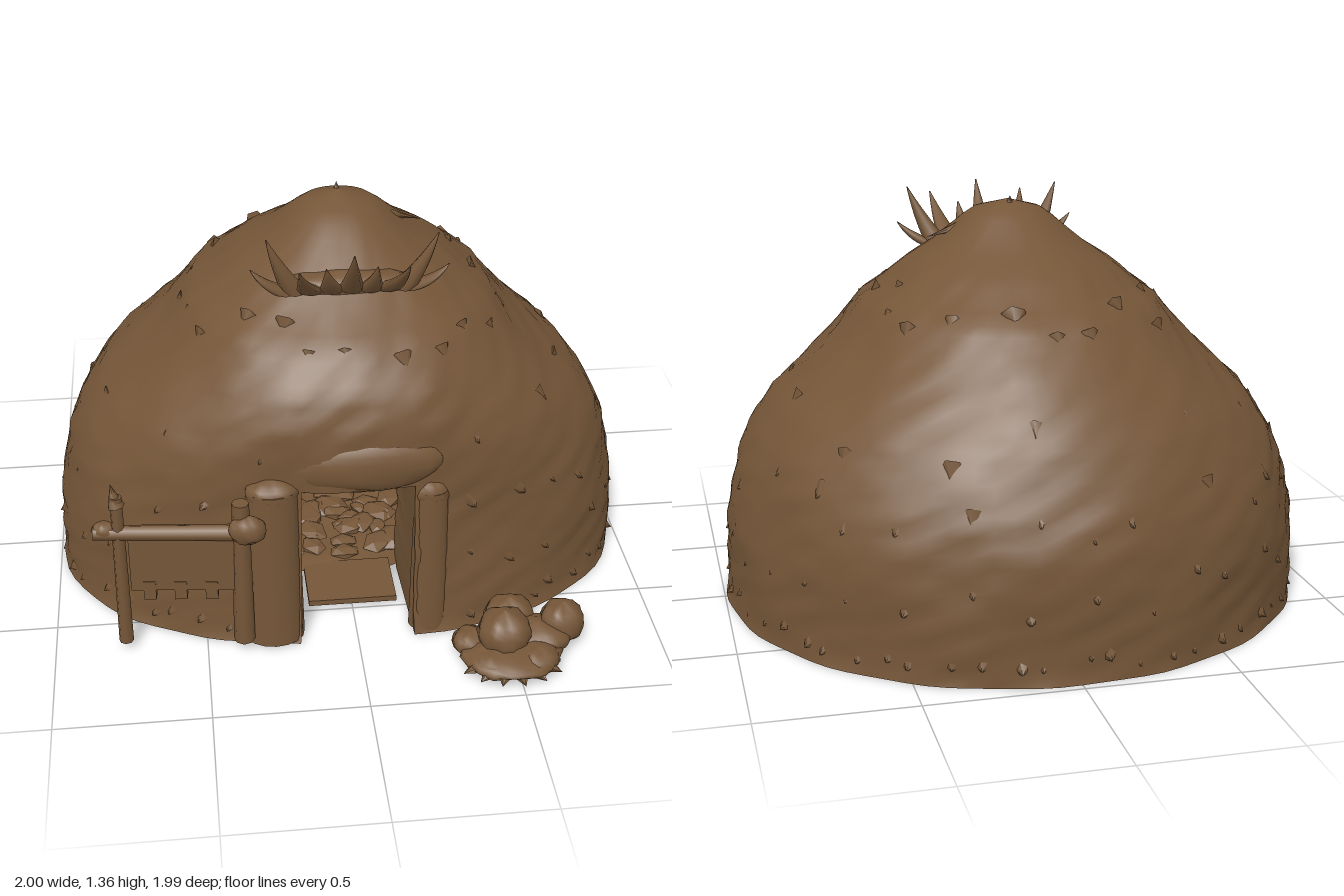
import * as THREE from 'three';

const earth = new THREE.MeshStandardMaterial({ color: 0x755638, side: THREE.DoubleSide });
earth.name = 'brown earth';

// Dome profile: height, then reach to the side, front and back
const profile = [
  [0, 0.99, 0.675, 0.975], [0.03, 0.985, 0.665, 0.97], [0.28, 0.98, 0.65, 0.975], [0.4, 0.955, 0.645, 0.965],
  [0.5, 0.93, 0.645, 0.935], [0.6, 0.885, 0.65, 0.89], [0.7, 0.81, 0.655, 0.84], [0.8, 0.7, 0.65, 0.765],
  [0.9, 0.595, 0.615, 0.675], [1.0, 0.515, 0.54, 0.575], [1.03, 0.49, 0.515, 0.545], [1.06, 0.44, 0.46, 0.485],
  [1.13, 0.36, 0.365, 0.39], [1.2, 0.25, 0.28, 0.255], [1.25, 0.19, 0.215, 0.18], [1.29, 0.145, 0.16, 0.125],
  [1.32, 0.1, 0.105, 0.08], [1.335, 0.05, 0.05, 0.04], [1.342, 0, 0, 0],
];
const COLS = 90, ROWS = 46, TOP = 1.342, DOOR_COL = 4, DOOR_ROW = 20;
const STEP = (Math.PI * 2) / COLS, DOOR_ANGLE = DOOR_COL * STEP, INNER_ANGLE = 0.42;

let seed = 7;
const rand = () => (seed = (seed * 16807) % 2147483647) / 2147483647;
const span = (a, b) => a + (b - a) * rand();

const bumps = (a, y) =>
  0.005 * Math.sin(a * 9 + 2) * Math.sin(y * 13) + 0.004 * Math.sin(a * 17 + Math.sin(y * 19) * 2) * Math.cos(y * 31)
  + 0.003 * Math.sin(a * 29) * Math.sin(y * 47);

function reach(a, side, depth, n) {
  if (side < 1e-4) return 0;
  return 1 / Math.pow(Math.pow(Math.abs(Math.sin(a)) / side, n) + Math.pow(Math.abs(Math.cos(a)) / depth, n), 1 / n);
}

// Point on the outer skin at angle a (0 = front) and height y
function outer(a, y, lift = 0) {
  let i = 1;
  while (i < profile.length - 1 && profile[i][0] < y) i++;
  const p = profile[i - 1], q = profile[i];
  const t = Math.min(1, (y - p[0]) / (q[0] - p[0]));
  const mix = (k) => p[k] + (q[k] - p[k]) * t;
  const front = Math.cos(a) > 0;
  let r = reach(a, mix(1), mix(front ? 2 : 3), front ? 2.25 : 2.03);
  r += bumps(a, y) * Math.min(1, r * r * 4) + lift;
  return new THREE.Vector3(Math.sin(a) * r, y, Math.cos(a) * r);
}

// Point on the inner skin, with the columns spread so the doorway stays straight
function inner(a, row) {
  const m = Math.abs(a), k = (Math.PI - INNER_ANGLE) / (Math.PI - DOOR_ANGLE);
  const b = Math.sign(a) * (m < DOOR_ANGLE ? (m * INNER_ANGLE) / DOOR_ANGLE : INNER_ANGLE + (m - DOOR_ANGLE) * k);
  const base = (TOP * DOOR_ROW) / ROWS;
  const t = Math.max(0, (row - DOOR_ROW) / (ROWS - DOOR_ROW));
  const y = row <= DOOR_ROW ? (TOP * row) / ROWS : base + 0.4 * Math.sin((t * Math.PI) / 2);
  const r = (reach(b, 0.5, 0.42, 2) + 3 * bumps(b, y)) * Math.cos((t * Math.PI) / 2);
  return new THREE.Vector3(Math.sin(b) * r, y, Math.cos(b) * r - 0.11);
}

const angle = (c) => (c - COLS / 2) * STEP;
const height = (r) => (TOP * r) / ROWS;
const inDoor = (c, r) => c >= COLS / 2 - DOOR_COL && c < COLS / 2 + DOOR_COL && r < DOOR_ROW;

// Grid surface from a point rule; 'skip' leaves cells open and 'wrap' closes the loop
function patch(nu, nv, point, skip = () => false, wrap = false) {
  const pos = [], index = [], w = wrap ? nu : nu + 1;
  for (let v = 0; v <= nv; v++) for (let u = 0; u < w; u++) pos.push(...point(u, v).toArray());
  for (let v = 0; v < nv; v++) for (let u = 0; u < nu; u++) {
    if (skip(u, v)) continue;
    const a = v * w + u, b = v * w + ((u + 1) % w), c = a + w, d = b + w;
    index.push(a, b, d, a, d, c);
  }
  const g = new THREE.BufferGeometry();
  g.setAttribute('position', new THREE.Float32BufferAttribute(pos, 3));
  g.setIndex(index);
  g.computeVertexNormals();
  return g;
}

// Rounded lump, roughened by a rule
function lump(rx, ry, rz, rough = 0.08) {
  const g = new THREE.SphereGeometry(1, 18, 12), p = g.attributes.position, v = new THREE.Vector3();
  for (let i = 0; i < p.count; i++) {
    v.fromBufferAttribute(p, i);
    v.multiplyScalar(1 + rough * Math.sin(v.x * 6 + rx * 50) * Math.cos(v.z * 5 + v.y * 4));
    p.setXYZ(i, v.x * rx, v.y * ry, v.z * rz);
  }
  g.computeVertexNormals();
  return g;
}

export function createModel() {
  const hut = new THREE.Group();
  hut.name = 'hut';
  const add = (name, geometry, x = 0, y = 0, z = 0, parent = hut) => {
    const m = new THREE.Mesh(geometry, earth);
    m.name = name;
    m.position.set(x, y, z);
    parent.add(m);
    return m;
  };
  const group = (name) => {
    const g = new THREE.Group();
    g.name = name;
    hut.add(g);
    return g;
  };
  const spike = (name, from, to, radius, parent, sides = 7) => {
    const dir = to.clone().sub(from);
    const m = add(name, new THREE.ConeGeometry(radius, dir.length(), sides), 0, 0, 0, parent);
    m.position.copy(from).addScaledVector(dir, 0.5);
    m.quaternion.setFromUnitVectors(new THREE.Vector3(0, 1, 0), dir.normalize());
  };

  // Thick dome with an open doorway
  add('outerWall', patch(COLS, ROWS, (u, v) => outer(angle(u), height(v)), inDoor, true));
  add('innerWall', patch(COLS, ROWS, (u, v) => inner(angle(u), v), inDoor, true));
  const between = (c, r, t) => outer(angle(c), height(r)).lerp(inner(angle(c), r), t);
  add('wallBase', patch(COLS, 1, (u, v) => between(u, 0, v), (u) => inDoor(u, 0), true));
  for (const s of [-1, 1])
    add('doorJamb', patch(4, DOOR_ROW, (u, v) => between(COLS / 2 + s * DOOR_COL, v, u / 4)));
  add('doorLintel', patch(2 * DOOR_COL, 4, (u, v) => between(COLS / 2 - DOOR_COL + u, DOOR_ROW, v / 4)));

  // Overhanging lip and the buttresses either side of the door
  add('doorHood', lump(0.25, 0.1, 0.06, 0.05), 0.03, 0.665, 0.615);
  for (const [x, r, h, depth] of [[-0.275, 0.1, 0.58, 0.08], [0.24, 0.065, 0.54, 0.05]]) {
    add('doorButtress', new THREE.CylinderGeometry(0.85, 1, 1, 16), x, h / 2 + 0.01, 0.61).scale.set(r, h, depth);
    add('buttressTop', lump(r * 0.9, 0.05, depth * 0.85), x, h, 0.61);
  }

  // Uneven floor with rubble, running a little into the doorway
  add('floor', patch(40, 8, (u, v) => {
    const a = u * Math.PI / 20, r = v / 8;
    return new THREE.Vector3(Math.sin(a) * r * 0.53, 0.035 + 0.02 * Math.sin(a * 5 + r * 11) * r, Math.cos(a) * r * 0.45 - 0.11);
  }, undefined, true));
  add('doorstep', new THREE.BoxGeometry(0.3, 0.02, 0.22), 0, 0.03, 0.39);
  const rubble = group('rubble');
  for (let i = 0; i < 90; i++) {
    const a = span(0, Math.PI * 2), r = Math.sqrt(rand()) * 0.45, s = span(0.03, 0.065);
    const m = add('rubblePiece', new THREE.IcosahedronGeometry(s, 0), Math.sin(a) * r, 0.045, Math.cos(a) * r * 0.8 - 0.11, rubble);
    m.scale.set(1.4, 0.45, 1);
    m.rotation.y = a * 3;
  }

  // Ragged tufts along each course
  const tufts = group('tufts');
  for (const [y, count, size] of [[0.04, 60, 0.03], [0.27, 34, 0.024], [0.5, 34, 0.026], [0.7, 14, 0.022], [1.02, 24, 0.02]]) {
    for (let i = 0; i < count; i++) {
      const a = ((i + span(-0.3, 0.3)) / count) * Math.PI * 2;
      if (y < 0.65 && Math.abs(Math.sin(a)) < 0.5 && Math.cos(a) > 0) continue;
      const h = Math.max(0.055, y + span(-0.06, 0.06));
      const tip = outer(a, h, size * span(0.2, 0.7));
      tip.y -= 0.02;
      spike('tuft', outer(a, h, -0.03), tip, span(0.03, 0.045), tufts, 6);
    }
  }

  // Crown of curved horns above the door: base x, tip x, tip y, tip z
  const crown = group('crown');
  for (const [bx, tx, ty, tz] of [
    [-0.2, -0.31, 1.23, 0.34], [-0.17, -0.26, 1.34, 0.36], [-0.12, -0.17, 1.3, 0.52], [-0.05, -0.08, 1.27, 0.44],
    [0.01, 0, 1.34, 0.5], [0.07, 0.08, 1.27, 0.44], [0.13, 0.17, 1.3, 0.51], [0.18, 0.28, 1.34, 0.36], [0.2, 0.32, 1.22, 0.34],
  ]) {
    const base = new THREE.Vector3(bx, 1.14, 0.32), tip = new THREE.Vector3(tx, ty, tz);
    const bend = base.clone().lerp(tip, 0.6).add(new THREE.Vector3(0, -0.02, 0.012));
    const curve = new THREE.QuadraticBezierCurve3(base, bend, tip);
    add('horn', patch(8, 8, (u, v) => {
      const a = (u * Math.PI) / 4, r = 0.042 * (1 - v / 8) + 0.002;
      return curve.getPoint(v / 8).add(new THREE.Vector3(Math.cos(a) * r, 0, -Math.sin(a) * r));
    }, undefined, true), 0, 0, 0, crown);
  }
  add('crownBand', lump(0.23, 0.04, 0.06), 0, 1.15, 0.3, crown);
  spike('topTwig', new THREE.Vector3(0.1, 1.27, 0.02), new THREE.Vector3(0.28, 1.22, 0), 0.025, crown);
  spike('topKnot', new THREE.Vector3(0, 1.31, -0.02), new THREE.Vector3(0, 1.355, -0.03), 0.02, crown);

  // Fence beside the door, turned slightly away from the wall
  const fence = group('fence');
  fence.rotation.y = -0.1;
  fence.position.set(0.064, 0, 0.065);
  const post = (x, y, h, r) => add('fencePost', new THREE.CylinderGeometry(r * 0.8, r, h, 8), x, y, 0.645, fence);
  post(-0.77, 0.32, 0.57, 0.024);
  post(-0.38, 0.31, 0.54, 0.035);
  spike('postTip', new THREE.Vector3(-0.77, 0.57, 0.645), new THREE.Vector3(-0.785, 0.65, 0.64), 0.028, fence);
  const rail = add('fenceRail', new THREE.CylinderGeometry(0.024, 0.028, 0.52, 8), -0.59, 0.468, 0.645, fence);
  rail.rotation.z = Math.PI / 2;
  add('fencePanel', new THREE.BoxGeometry(0.34, 0.2, 0.03), -0.57, 0.35, 0.645, fence);
  for (let i = 0; i < 3; i++) add('panelFoot', new THREE.BoxGeometry(0.04, 0.07, 0.035), -0.68 + i * 0.1, 0.25, 0.645, fence);
  add('railEnd', lump(0.04, 0.03, 0.03), -0.815, 0.475, 0.64, fence);
  add('fenceBracket', lump(0.06, 0.05, 0.04), -0.36, 0.49, 0.665, fence);

  // Rocks beside the door
  const rocks = group('rocks');
  for (const [x, y, z, rx, ry, rz] of [
    [0.46, 0.105, 0.81, 0.09, 0.085, 0.085], [0.665, 0.09, 0.75, 0.075, 0.075, 0.07], [0.5, 0.08, 0.69, 0.085, 0.07, 0.07],
    [0.48, 0.05, 0.85, 0.16, 0.04, 0.13], [0.58, 0.06, 0.78, 0.11, 0.055, 0.09], [0.36, 0.055, 0.78, 0.065, 0.045, 0.06],
    [0.56, 0.05, 0.88, 0.07, 0.045, 0.07], [0.42, 0.05, 0.88, 0.07, 0.04, 0.07],
  ]) add('rock', lump(rx, ry, rz), x, y, z, rocks);
  for (let i = 0; i < 6; i++) {
    const a = -1.1 + i * 0.4;
    spike('rockShard', new THREE.Vector3(0.48 + Math.sin(a) * 0.1, 0.045, 0.85 + Math.cos(a) * 0.07),
      new THREE.Vector3(0.48 + Math.sin(a) * 0.19, 0.035, 0.85 + Math.cos(a) * 0.15), 0.04, rocks, 6);
  }
  return hut;
}
